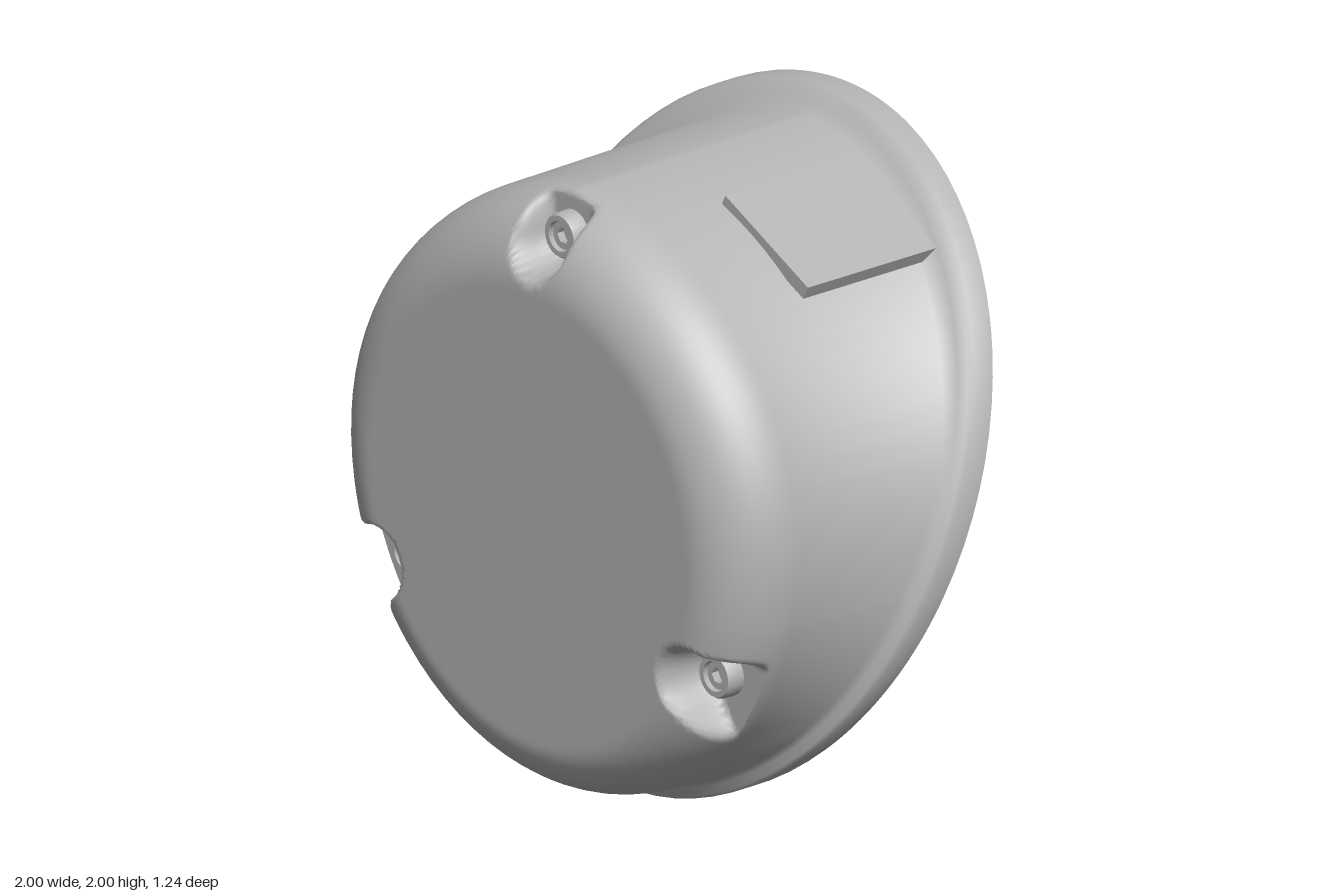
import * as THREE from 'three';
import { toCreasedNormals } from 'three/addons/utils/BufferGeometryUtils.js';

const grey = new THREE.MeshStandardMaterial({ color: 0xb4b4b4 });
grey.name = 'grey';
const SECTOR = Math.PI * 2 / 3; // three screw pockets, one at the top
const BOSS_RADIUS = 0.79;
const THICKNESS = 0.02;

function addMesh(parent, name, geometry, crease = 0.6) {
  const mesh = new THREE.Mesh(toCreasedNormals(geometry, crease), grey);
  mesh.name = name;
  parent.add(mesh);
  return mesh;
}

// Body radius: drawn in on the upper diagonals, leaving a faint ridge along the top
function wallRadius(theta) {
  const c = Math.cos(theta);
  return 0.932 - 0.006 * c - 0.04 * Math.max(0, c) * Math.max(0, Math.sin(2 * Math.abs(theta)));
}

// U-shaped recess around a screw, open towards the wall; the lower two flare outwards
function pocketDepth(r, d, flare, radius) {
  const u = r * Math.cos(d) - BOSS_RADIUS, v = Math.abs(r * Math.sin(d));
  const distance = u < 0 ? Math.hypot(u, v) : v - flare * u;
  return 1 - THREE.MathUtils.smoothstep(distance, radius, radius + 0.045);
}

// Closed cross-section at one angle: front centre, over the slanted rim, back to the inside centre
function shellSection(theta, d, flare) {
  const c = Math.cos(theta);
  const wall = wallRadius(theta);
  const flat = 0.7 - 0.06 * c;       // the front edge is rounder at the top
  const drop = 0.24 + 0.02 * c;
  const side = (t, radius, floor) => {
    const pts = [[0, 0.62 - t], [flat * 0.4, 0.62 - t], [flat * 0.7, 0.62 - t]];
    for (let i = 0; i < 10; i++) pts.push([flat * (0.8 + i * 0.02), 0.62 - t]);
    for (let i = 0; i <= 24; i++) {
      const a = i / 24 * Math.PI / 2;
      pts.push([flat + (wall - t - flat) * Math.sin(a), 0.62 - drop + (drop - t) * Math.cos(a)]);
    }
    return pts.map(([r, z]) => [r, z - Math.max(0, z - floor) * pocketDepth(r, d, flare, radius)]);
  };
  const rim = [
    [wall + 0.012, 0.13], [0.965, 0.105], [0.99, 0.09], [1, 0.075], [1, 0],
    [0.972, 0], [0.968, 0.05], [0.938, 0.055], [wall - 0.01, 0.08],
  ].map(([r, z]) => [r, 0.16 - 0.39 * (1 + r * c) + z]);
  return [...side(0, 0.076, 0.445), ...rim, ...side(THICKNESS, 0.092, 0.425).reverse()];
}

function shellGeometry() {
  // Angles are denser around the pockets
  const half = Array.from({ length: 26 }, (_, i) => (i + 1) * 0.0115);
  for (let i = 1; i <= 9; i++) half.push(0.299 + i * 0.078);
  const offsets = [...half.map(v => -v).reverse(), 0, ...half, SECTOR / 2];
  const sections = [];
  for (let k = -1; k <= 1; k++) {
    for (const d of offsets) {
      const angle = k * SECTOR + d;
      const theta = Math.atan2(Math.sin(angle), Math.cos(angle));
      sections.push({ theta, points: shellSection(theta, d, k === 0 ? 0.1 : 0.45) });
    }
  }
  const positions = [], index = [], n = sections.length, rows = sections[0].points.length;
  for (let i = 0; i < rows; i++) {
    for (const { theta, points } of sections) {
      const [r, z] = points[i];
      positions.push(r * Math.sin(theta), 1 + r * Math.cos(theta), z);
    }
  }
  for (let i = 0; i < rows - 1; i++) {
    for (let j = 0; j < n; j++) {
      const a = i * n + j, d = i * n + (j + 1) % n, b = a + n, c = d + n;
      index.push(a, c, b, a, d, c);
    }
  }
  const g = new THREE.BufferGeometry();
  g.setAttribute('position', new THREE.Float32BufferAttribute(positions, 3));
  g.setIndex(index);
  return g;
}

// Lathe around the z axis from [radius, z] pairs
function latheZ(points, segments) {
  return new THREE.LatheGeometry(points.map(p => new THREE.Vector2(...p)), segments).rotateX(Math.PI / 2);
}

function screwBoss() {
  const boss = new THREE.Group();
  boss.name = 'screwBoss';
  addMesh(boss, 'screwCollar', latheZ([[0.072, 0.435], [0.07, 0.49], [0.064, 0.5], [0.047, 0.5], [0.047, 0.46], [0, 0.46]], 20));
  addMesh(boss, 'innerPost', latheZ([[0, 0.435], [0.052, 0.435], [0.052, 0.4], [0.08, 0.4], [0.088, 0.43]], 20));
  // Screw head with a hexagonal socket
  const head = new THREE.Shape().absarc(0, 0, 0.044, 0, Math.PI * 2);
  const hex = Array.from({ length: 6 }, (_, i) => new THREE.Vector2(
    0.026 * Math.cos(i * Math.PI / 3), 0.026 * Math.sin(i * Math.PI / 3)));
  head.holes.push(new THREE.Path(hex));
  const headGeometry = new THREE.ExtrudeGeometry(head, { depth: 0.025, bevelEnabled: false, curveSegments: 10 });
  addMesh(boss, 'screwHead', headGeometry).position.z = 0.46;
  addMesh(boss, 'screwTip', headGeometry).position.z = 0.412;
  return boss;
}

export function createModel() {
  const model = new THREE.Group();
  model.name = 'slantedHousing';
  addMesh(model, 'shell', shellGeometry(), 1.25);

  for (let k = 0; k < 3; k++) {
    const boss = screwBoss();
    boss.position.set(BOSS_RADIUS * Math.sin(k * SECTOR), 1 + BOSS_RADIUS * Math.cos(k * SECTOR), 0);
    boss.rotation.z = -k * SECTOR;
    model.add(boss);
  }

  // Flat raised pad on the upper left of the wall
  const pad = addMesh(model, 'raisedPad', new THREE.BoxGeometry(0.41, 0.045, 0.54));
  pad.position.set(0.455, 1.785, -0.17);
  pad.rotation.z = -0.47;
  return model;
}
